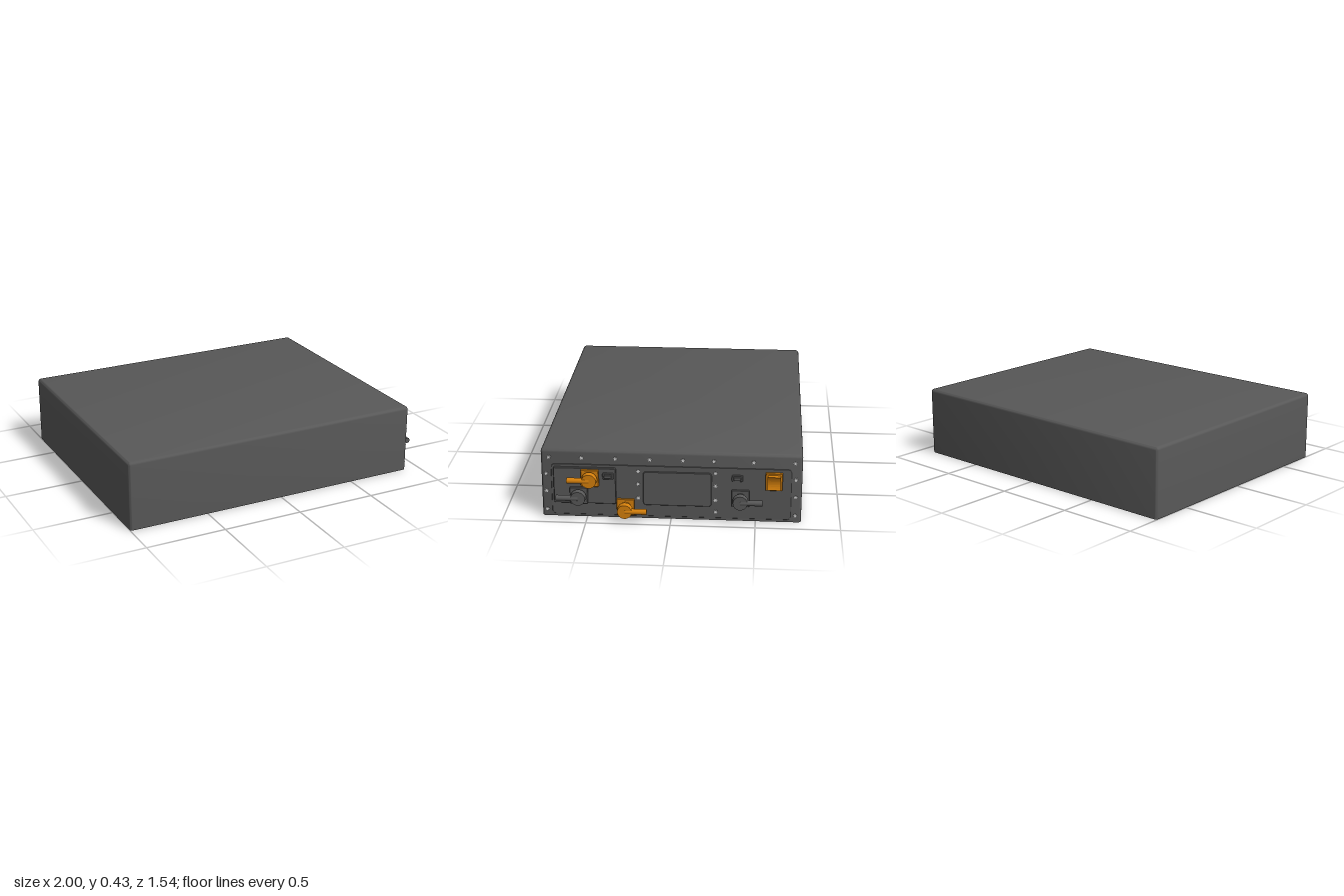
import * as THREE from 'three';
import { RoundedBoxGeometry } from 'three/addons/geometries/RoundedBoxGeometry.js';
import { toCreasedNormals } from 'three/addons/utils/BufferGeometryUtils.js';

const grey = new THREE.MeshStandardMaterial({ color: 0x585858 });
grey.name = 'dark grey';
const orange = new THREE.MeshStandardMaterial({ color: 0xd5800c });
orange.name = 'orange';
const silver = new THREE.MeshStandardMaterial({ color: 0xd4d4d4 });
silver.name = 'silver';

const FACE = 0.91; // x of the control face

function add(parent, name, geometry, material, x = 0, y = 0, z = 0) {
  const mesh = new THREE.Mesh(geometry, material);
  mesh.name = name;
  mesh.position.set(x, y, z);
  parent.add(mesh);
  return mesh;
}

// Rounded plate on the control face, spanning z0..z1 and y0..y1, from x0 to x1
function plate(parent, name, material, z0, z1, y0, y1, x1, r = 0.02, x0 = FACE - 0.005) {
  const w = z1 - z0, h = y1 - y0, s = new THREE.Shape();
  s.moveTo(r, 0);
  s.lineTo(w - r, 0).absarc(w - r, r, r, -Math.PI / 2, 0);
  s.lineTo(w, h - r).absarc(w - r, h - r, r, 0, Math.PI / 2);
  s.lineTo(r, h).absarc(r, h - r, r, Math.PI / 2, Math.PI);
  s.lineTo(0, r).absarc(r, r, r, Math.PI, Math.PI * 1.5);
  const b = Math.min(0.003, (x1 - x0) / 4);
  const g = new THREE.ExtrudeGeometry(s, {
    depth: x1 - x0 - b, bevelThickness: b, bevelSize: b, bevelOffset: -b, bevelSegments: 1, curveSegments: 5,
  });
  g.rotateY(Math.PI / 2);
  return add(parent, name, g, material, x0, y0, z1);
}

// Turn knob: square base, round hub and a lever pointing along dir in z
function knob(parent, name, material, z, y, dir, foot = FACE) {
  const g = new THREE.Group();
  g.name = name;
  parent.add(g);
  plate(g, 'knobBase', material, z - 0.053, z + 0.053, y - 0.053, y + 0.053, foot + 0.016, 0.006);
  const stem = new THREE.CylinderGeometry(0.03, 0.036, 0.05, 20).rotateZ(-Math.PI / 2);
  add(g, 'knobStem', stem, material, foot + 0.03, y, z);
  const hub = new THREE.CylinderGeometry(0.043, 0.046, 0.036, 24).rotateZ(-Math.PI / 2);
  add(g, 'knobHub', hub, material, 0.975, y, z);
  const lever = new THREE.CylinderGeometry(0.017, 0.017, 0.13, 16).rotateX(Math.PI / 2);
  add(g, 'knobLever', lever, material, 0.98, y, z + dir * 0.065);
}

export function createModel() {
  const model = new THREE.Group();
  model.name = 'controlBox';

  // Case: rounded sides and top, with the bottom flattened at y = 0
  const r = 0.02, height = 0.43;
  const box = new RoundedBoxGeometry(1.91, height + r, 1.54, 3, r);
  box.translate(-0.045, (height - r) / 2, 0);
  const p = box.attributes.position;
  for (let i = 0; i < p.count; i++) p.setY(i, Math.max(0, p.getY(i)));
  add(model, 'case', toCreasedNormals(box, 0.6), grey);

  // Control panel, side sub-panel and cover plate
  const panel = new THREE.Group();
  panel.name = 'controlPanel';
  model.add(panel);
  plate(panel, 'mainPanel', grey, -0.71, 0.71, 0.015, 0.34, FACE + 0.003, 0.025);
  plate(panel, 'subPanel', grey, 0.325, 0.695, 0.095, 0.323, FACE + 0.02, 0.01);
  plate(panel, 'coverPlate', grey, -0.24, 0.165, 0.09, 0.305, FACE + 0.011);

  // Small push buttons
  for (const [z, foot] of [[0.37, 0.93], [-0.39, FACE]]) {
    plate(panel, 'buttonFrame', grey, z - 0.033, z + 0.033, 0.257, 0.297, foot + 0.01, 0.008);
    plate(panel, 'button', grey, z - 0.023, z + 0.023, 0.265, 0.289, foot + 0.02, 0.007);
  }

  // Knobs
  knob(panel, 'upperOrangeKnob', orange, 0.478, 0.263, 1, 0.93);
  knob(panel, 'frontGreyKnob', grey, 0.545, 0.15, 1, 0.93);
  knob(panel, 'lowerOrangeKnob', orange, 0.27, 0.073, -1);
  knob(panel, 'backGreyKnob', grey, -0.41, 0.15, -1);

  // Rocker switch
  const rocker = new THREE.Group();
  rocker.name = 'rockerSwitch';
  panel.add(rocker);
  plate(rocker, 'switchFrame', orange, -0.655, -0.555, 0.21, 0.32, FACE + 0.022, 0.006);
  const side = new THREE.Shape();
  side.moveTo(0, -0.044).lineTo(0.035, -0.044);
  side.quadraticCurveTo(0.018, 0, 0.046, 0.044).lineTo(0, 0.044);
  const rockerGeo = new THREE.ExtrudeGeometry(side, { depth: 0.076, bevelEnabled: false, curveSegments: 8 });
  add(rocker, 'switchRocker', rockerGeo, orange, FACE + 0.005, 0.265, -0.643);

  // Star-headed screws: top row, both ends and beside the cover plate
  const star = new THREE.Shape();
  for (let i = 0; i < 12; i++) {
    const a = (i * Math.PI) / 6, q = i % 2 ? 0.007 : 0.013;
    star[i ? 'lineTo' : 'moveTo'](Math.cos(a) * q, Math.sin(a) * q);
  }
  const screw = new THREE.ExtrudeGeometry(star, { depth: 0.007, bevelEnabled: false }).rotateY(Math.PI / 2);
  const spots = [0.72, 0.527, 0.327, 0.124, -0.07, -0.253, -0.484, -0.725].map((z) => [z, 0.381]);
  for (const z of [0.74, -0.733]) for (const y of [0.276, 0.165, 0.045]) spots.push([z, y]);
  for (const z of [0.194, -0.262]) for (const y of [0.305, 0.223, 0.132]) spots.push([z, y]);
  spots.push([-0.265, 0.055]);
  for (const [z, y] of spots) add(panel, 'screw', screw, silver, FACE - 0.001, y, z);

  return model;
}
